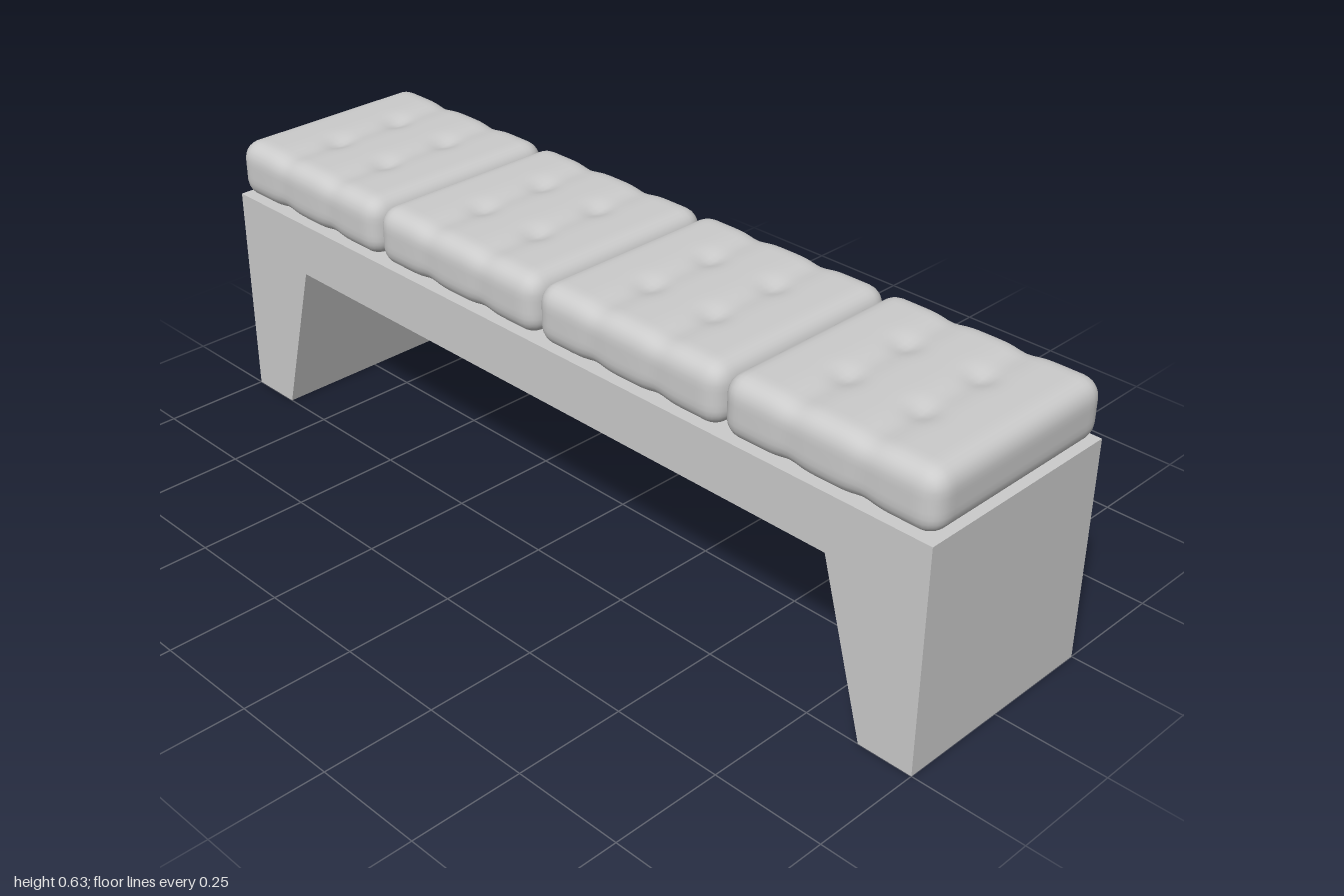
import * as THREE from 'three';
import { mergeVertices } from 'three/addons/utils/BufferGeometryUtils.js';

const material = new THREE.MeshStandardMaterial({ color: 0xcccccc });
const WIDTH = 0.5, LENGTH = 2, BASE_HEIGHT = 0.5;
const CUSHION_HEIGHT = 0.133, CUSHION_LENGTH = 0.498;
const TUFT = 0.085; // tuft offset from the cushion centre

const bump = (d, width) => Math.exp(-((d / width) ** 2));

// Side profile with tapered legs, extruded across the width
function createBase() {
  const profile = new THREE.Shape([
    [-1, 0], [-0.875, 0], [-0.77, 0.375], [0.77, 0.375],
    [0.875, 0], [1, 0], [1, BASE_HEIGHT], [-1, BASE_HEIGHT],
  ].map(([z, y]) => new THREE.Vector2(z, y)));
  const geometry = new THREE.ExtrudeGeometry(profile, { depth: WIDTH, bevelEnabled: false });
  geometry.translate(0, 0, -WIDTH / 2).rotateY(-Math.PI / 2);
  const base = new THREE.Mesh(geometry, material);
  base.name = 'benchBase';
  return base;
}

// Rounded box with two shallow cross grooves and four tufts
function createCushionGeometry() {
  const size = new THREE.Vector3(0.498, CUSHION_HEIGHT, CUSHION_LENGTH);
  let geometry = new THREE.BoxGeometry(size.x, size.y, size.z, 36, 10, 36);
  geometry.deleteAttribute('uv');
  geometry.deleteAttribute('normal');
  geometry = mergeVertices(geometry);

  const radius = 0.042;
  const limit = size.clone().multiplyScalar(0.5).subScalar(radius);
  const lower = limit.clone().negate();
  const position = geometry.attributes.position;
  const p = new THREE.Vector3(), core = new THREE.Vector3();
  for (let i = 0; i < position.count; i++) {
    // Round edges and corners
    p.fromBufferAttribute(position, i);
    core.copy(p).clamp(lower, limit);
    p.sub(core).setLength(radius).add(core);
    // Pull the grooves and tufts inwards
    const groove = bump(Math.abs(p.z) - TUFT, 0.03);
    const tuft = groove * bump(Math.abs(p.x) - TUFT, 0.03);
    const face = p.y / (size.y / 2);
    p.y -= face * (0.006 * groove + (face > 0 ? 0.009 : 0.003) * tuft);
    p.x *= 1 - 0.01 * groove;
    position.setXYZ(i, p.x, p.y, p.z);
  }
  geometry.computeVertexNormals();
  return geometry;
}

export function createModel() {
  const bench = new THREE.Group();
  bench.name = 'bench';
  bench.add(createBase());

  // Row of four seat cushions
  const cushionGeometry = createCushionGeometry();
  for (let i = 0; i < 4; i++) {
    const cushion = new THREE.Mesh(cushionGeometry, material);
    cushion.name = `seatCushion${i + 1}`;
    cushion.position.set(0, BASE_HEIGHT + CUSHION_HEIGHT / 2, -LENGTH / 2 + LENGTH / 4 * (i + 0.5));
    bench.add(cushion);
  }
  return bench;
}
